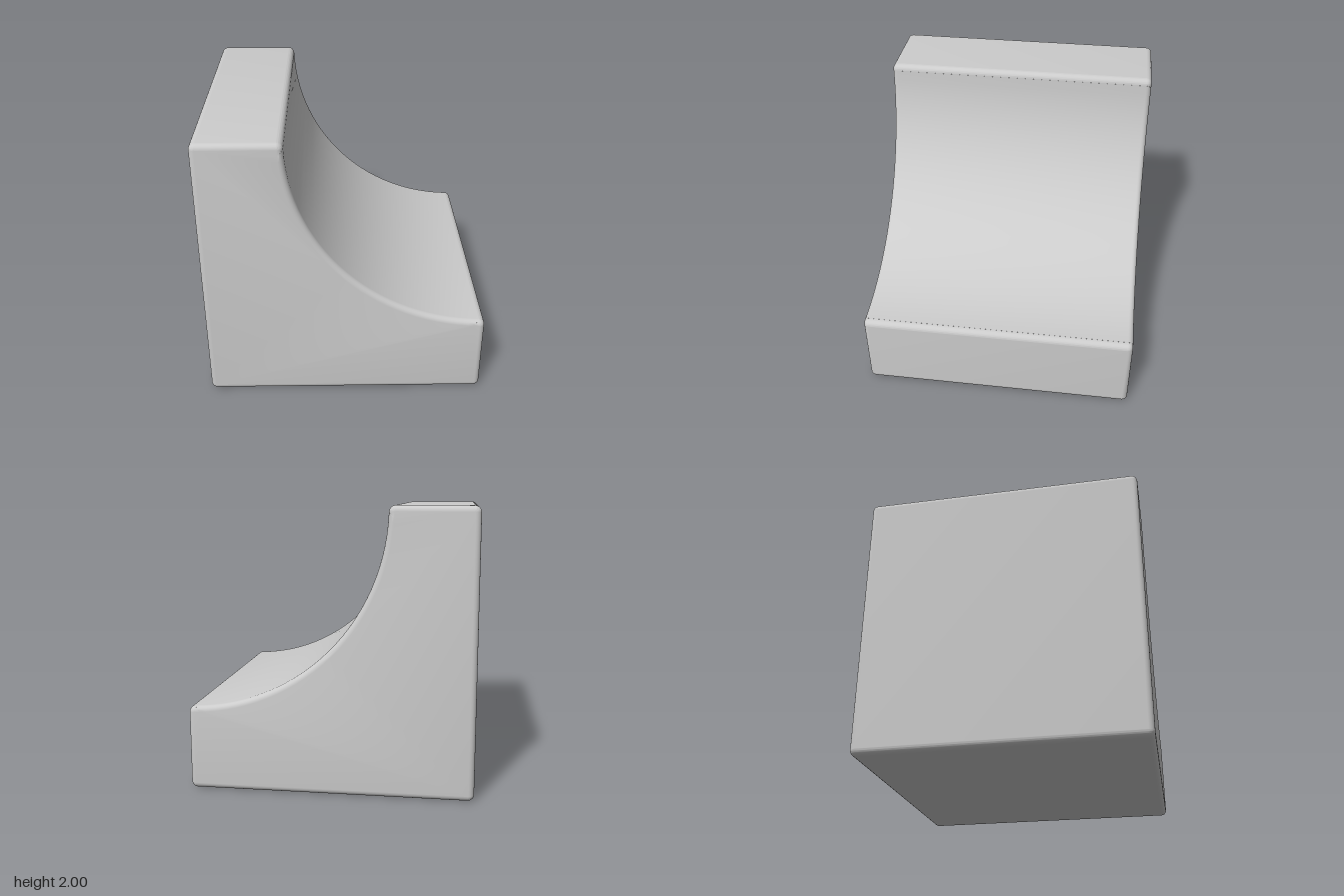
import * as THREE from 'three';
import { mergeVertices, toCreasedNormals } from 'three/addons/utils/BufferGeometryUtils.js';

export function createModel() {
  const group = new THREE.Group();
  group.name = 'coveBlock';

  const bevel = 0.04; // rounding of the front and back rims
  const r = 0.045; // rounding of the profile corners
  const cove = 1.4; // radius of the concave quarter round
  const d = r / cove;
  const q = Math.PI / 2;

  // Profile: a square with a quarter circle scooped from its upper right corner
  const shape = new THREE.Shape();
  shape.moveTo(-1 + r, 0);
  shape.absarc(1 - r, r, r, -q, 0);
  shape.absarc(1 - r, 2 - cove - r, r, 0, q);
  shape.absarc(1, 2, cove, 3 * q - d, 2 * q + d, true);
  shape.absarc(1 - cove - r, 2 - r, r, 0, q);
  shape.absarc(-1 + r, 2 - r, r, q, 2 * q);
  shape.absarc(-1 + r, r, r, 2 * q, 3 * q);

  // Extrude along z with rounded rims kept inside the profile
  let geometry = new THREE.ExtrudeGeometry(shape, {
    depth: 2 - 2 * bevel,
    bevelThickness: bevel,
    bevelSize: bevel,
    bevelOffset: -bevel,
    bevelSegments: 5,
    curveSegments: 14,
  });
  geometry.translate(0, 0, -1 + bevel);

  // Smooth normals across the roundings
  geometry.deleteAttribute('uv');
  geometry.deleteAttribute('normal');
  geometry = toCreasedNormals(mergeVertices(geometry, 1e-5), 0.6);

  const block = new THREE.Mesh(geometry, new THREE.MeshStandardMaterial({ color: 0xcccccc }));
  block.name = 'block';
  group.add(block);
  return group;
}
